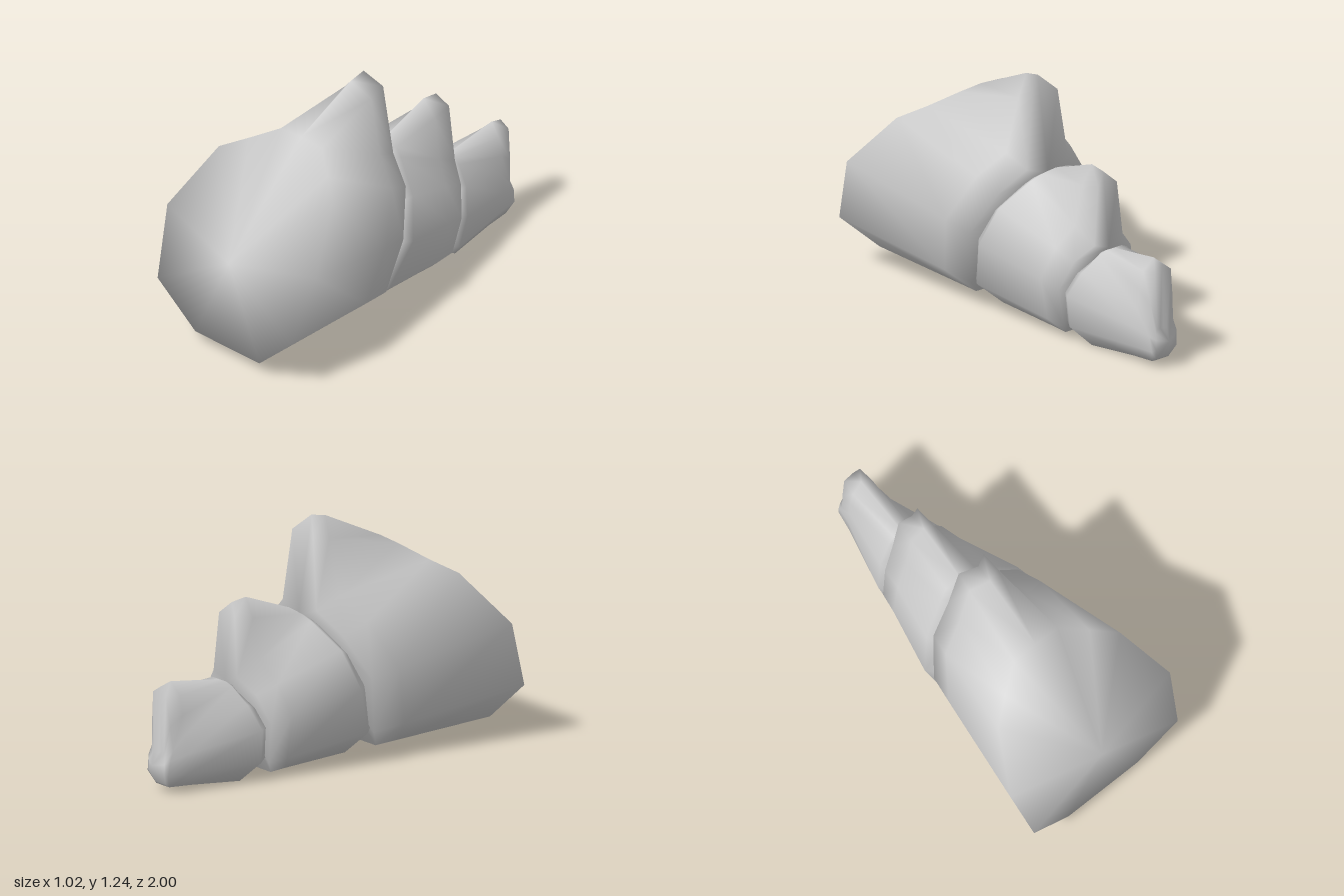
import * as THREE from 'three';

// Lofts half cross-sections (bottom edge up to the ridge, mirrored in x) from front to back.
function loft(name, rings, frontTip, backTip) {
  const half = rings[0].length;
  const n = half * 2 - 1;
  const pos = [];
  const idx = [];
  for (const ring of rings) {
    for (const p of ring) pos.push(...p);
    for (let k = half - 2; k >= 0; k--) pos.push(-ring[k][0], ring[k][1], ring[k][2]);
  }
  const front = rings.length * n;
  const back = front + 1;
  pos.push(...frontTip, ...backTip);

  const last = (rings.length - 1) * n;
  for (let k = 0; k < n; k++) {
    const j = (k + 1) % n;
    for (let r = 0; r < rings.length - 1; r++) {
      const a = r * n + k, b = r * n + j, c = a + n, d = b + n;
      // mirror the diagonals so both sides match
      if (k < half - 1) idx.push(a, c, b, b, c, d);
      else idx.push(a, c, d, a, d, b);
    }
    idx.push(front, k, j, back, last + j, last + k);
  }
  const geo = new THREE.BufferGeometry();
  geo.setAttribute('position', new THREE.Float32BufferAttribute(pos, 3));
  geo.setIndex(idx);
  geo.computeVertexNormals();
  const mesh = new THREE.Mesh(geo, new THREE.MeshStandardMaterial({ color: 0xcccccc }));
  mesh.name = name;
  return mesh;
}

export function createModel() {
  const group = new THREE.Group();
  group.name = 'tailSegments';

  // Each row: bottom, low side, side, shoulder, fin base, fin edge, ridge.
  group.add(loft('largeSegment', [
    [[.22, .065, .98], [.46, .28, 1], [.51, .63, .88], [.39, .91, .64], [.27, .97, .55], [.14, 1.04, .46], [0, 1.05, .46]],
    [[.18, .045, .43], [.33, .18, .34], [.39, .49, .26], [.30, .74, .13], [.16, .85, .07], [.09, 1.13, .06], [0, 1.22, .11]],
    [[.17, .04, .29], [.30, .16, .17], [.36, .46, .11], [.27, .68, 0], [.13, .79, -.055], [.08, 1.16, -.035], [0, 1.24, .02]],
  ], [0, .54, .97], [0, .74, -.06]));

  // The first row of the rear segments is a lip tucked into the segment ahead.
  group.add(loft('middleSegment', [
    [[.12, .09, .15], [.25, .19, .2], [.31, .42, .1], [.25, .58, .04], [.12, .70, -.02], [.08, .73, -.04], [0, .74, -.04]],
    [[.15, .035, .11], [.29, .16, .14], [.36, .42, .04], [.29, .62, -.03], [.14, .75, -.1], [.09, .78, -.12], [0, .79, -.12]],
    [[.125, .02, -.25], [.21, .1, -.31], [.26, .33, -.32], [.2, .49, -.36], [.11, .6, -.4], [.07, .81, -.41], [0, .9, -.4]],
    [[.12, .015, -.34], [.19, .09, -.41], [.235, .3, -.43], [.18, .45, -.48], [.09, .53, -.53], [.06, .83, -.52], [0, .89, -.49]],
  ], [0, .4, .2], [0, .5, -.53]));

  group.add(loft('smallSegment', [
    [[.08, .04, -.46], [.16, .12, -.4], [.19, .28, -.42], [.15, .38, -.47], [.07, .45, -.51], [.04, .48, -.52], [0, .48, -.52]],
    [[.1, 0, -.52], [.19, .1, -.46], [.225, .28, -.48], [.17, .41, -.53], [.09, .49, -.56], [.05, .51, -.57], [0, .51, -.57]],
    [[.06, .025, -.8], [.1, .1, -.85], [.1, .2, -.86], [.09, .3, -.86], [.08, .4, -.87], [.06, .5, -.87], [0, .56, -.88]],
    [[.05, .035, -.93], [.08, .1, -.96], [.085, .18, -.95], [.08, .23, -.93], [.07, .35, -.94], [.05, .51, -.95], [0, .545, -.945]],
    [[.04, .05, -.945], [.06, .11, -.97], [.06, .16, -.97], [.05, .19, -.957], [.04, .21, -.955], [.02, .21, -.955], [0, .21, -.955]],
  ], [0, .25, -.4], [0, .15, -1]));

  return group;
}
